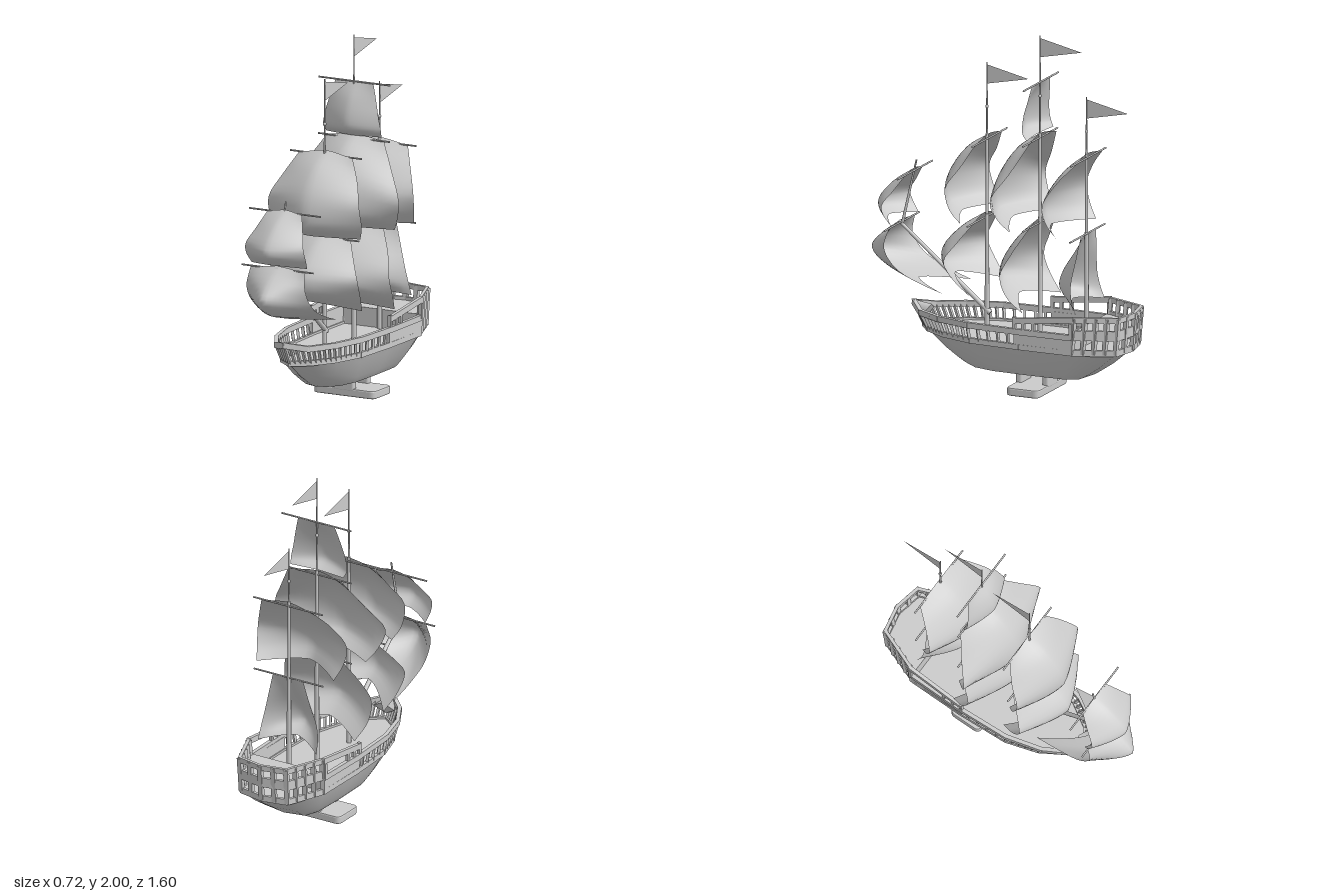
import * as THREE from 'three';

const grey = new THREE.MeshStandardMaterial({ color: 0xcccccc });
const thin = new THREE.MeshStandardMaterial({ color: 0xcccccc, side: THREE.DoubleSide });
const V = (x, y, z) => new THREE.Vector3(x, y, z);

export function createModel() {
  const model = new THREE.Group();
  const add = (name, geo, mat = grey, parent = model) => {
    const m = new THREE.Mesh(geo, mat);
    m.name = name;
    parent.add(m);
    return m;
  };
  const group = (name) => {
    const g = new THREE.Group();
    g.name = name;
    model.add(g);
    return g;
  };
  // Square bar from a to b
  const beam = (name, a, b, w, h, parent) => {
    const m = add(name, new THREE.BoxGeometry(w, h, a.distanceTo(b) + w * 0.6), grey, parent);
    m.position.copy(a).lerp(b, 0.5);
    m.lookAt(b);
  };
  // Tapered round spar from a to b
  const spar = (name, a, b, r0, r1, parent) => {
    const m = add(name, new THREE.CylinderGeometry(r1, r0, a.distanceTo(b), 8), grey, parent);
    m.position.copy(a).lerp(b, 0.5);
    m.quaternion.setFromUnitVectors(V(0, 1, 0), b.clone().sub(a).normalize());
  };
  // Grid surface from rows of points
  const gridSurface = (rows) => {
    const n = rows[0].length, idx = [];
    for (let i = 0; i < rows.length - 1; i++) for (let j = 0; j < n - 1; j++) {
      const a = i * n + j, b = a + n;
      idx.push(a, b, a + 1, b, b + 1, a + 1);
    }
    const g = new THREE.BufferGeometry().setFromPoints(rows.flat());
    g.setIndex(idx);
    g.computeVertexNormals();
    return g;
  };
  // Closed plan outline from half points [x, z], bow to stern
  const mirror = (half) => [...half, ...half.slice(1, -1).reverse().map(([x, z]) => [-x, z])];
  const plate = (name, half, y, t) => {
    const shape = new THREE.Shape(mirror(half).map(([x, z]) => new THREE.Vector2(x, -z)));
    const g = new THREE.ExtrudeGeometry(shape, { depth: t, bevelEnabled: false });
    g.rotateX(-Math.PI / 2).translate(0, y - t, 0);
    add(name, g);
  };

  // Hull: keel outline blended into sheer outline
  const keel = [[0, 0.2], [0.06, 0.18], [0.11, 0.12], [0.14, 0], [0.145, -0.2], [0.14, -0.42], [0.11, -0.5], [0, -0.525]];
  const sheer = [[0, 0.48], [0.09, 0.41], [0.17, 0.28], [0.225, 0.1], [0.238, -0.2], [0.235, -0.52], [0.15, -0.745], [0, -0.77]];
  const levels = [[0.114, 0], [0.124, 0.1], [0.15, 0.27], [0.2, 0.57], [0.25, 0.81], [0.29, 1]];
  const hullRows = levels.map(([y, t]) => {
    const pts = mirror(keel.map(([x, z], i) => [x + (sheer[i][0] - x) * t, z + (sheer[i][1] - z) * t]));
    return [...pts, pts[0]].map(([x, z]) => V(x, y, z));
  });
  add('hull', gridSurface(hullRows), thin);
  plate('hullBottom', keel, 0.124, 0.01);
  plate('mainDeck', sheer, 0.3, 0.015);
  plate('poopDeck', [[0, -0.52], [0.238, -0.52], [0.15, -0.755], [0, -0.78]], 0.405, 0.02);
  add('poopBulkhead', new THREE.BoxGeometry(0.47, 0.12, 0.015)).position.set(0, 0.345, -0.52);

  // Bulwark rails with leaning balusters, both sides
  const rails = group('bulwarks');
  for (const s of [-1, 1]) {
    const low = [[0, 0.48], [0.09, 0.41], [0.17, 0.28], [0.225, 0.1], [0.24, -0.2], [0.238, -0.52]].map(([x, z]) => V(s * x, 0.297, z));
    const high = [[0, 0.54], [0.1, 0.455], [0.182, 0.31], [0.235, 0.11], [0.25, -0.2], [0.245, -0.52]].map(([x, z], i) => V(s * x, i ? 0.385 : 0.41, z));
    for (let i = 0; i < 5; i++) {
      beam('lowerRail', low[i], low[i + 1], 0.02, 0.03, rails);
      beam('upperRail', high[i], high[i + 1], 0.022, 0.032, rails);
      if (i === 4) continue;
      const n = [4, 5, 5, 5][i];
      for (let k = 0; k < n; k++) {
        const t = k / n;
        beam('baluster', low[i].clone().lerp(low[i + 1], t), high[i].clone().lerp(high[i + 1], t), 0.014, 0.016, rails);
      }
    }
    // Solid quarter panel and rising quarter rail
    beam('quarterPanel', V(s * 0.242, 0.34, -0.18), V(s * 0.242, 0.34, -0.52), 0.012, 0.08, rails);
    beam('quarterRail', V(s * 0.25, 0.445, -0.18), V(s * 0.245, 0.485, -0.53), 0.02, 0.032, rails);
    for (const z of [-0.18, -0.235, -0.295, -0.52])
      beam('quarterPost', V(s * 0.248, 0.385, z), V(s * 0.248, 0.46, z), 0.018, 0.018, rails);
  }

  // Stern gallery: three bands with two rows of windows
  const gallery = group('sternGallery');
  const bands = [[0.297, 0.034, 0], [0.397, 0.055, 0.008], [0.485, 0.03, 0.016]];
  const sternPts = [[0.235, -0.52], [0.148, -0.745], [0, -0.775], [-0.148, -0.745], [-0.235, -0.52]];
  const ring = bands.map(([y, , o]) => sternPts.map(([x, z]) => V(x * (1 + o), y, z - o)));
  bands.forEach(([, h], b) => {
    for (let i = 0; i < 4; i++) {
      beam('galleryBand', ring[b][i], ring[b][i + 1], 0.018, h, gallery);
      if (b === 2) continue;
      const n = i === 0 || i === 3 ? 4 : 2;
      for (let k = 0; k <= n; k++)
        beam('windowPost', ring[b][i].clone().lerp(ring[b][i + 1], k / n),
          ring[b + 1][i].clone().lerp(ring[b + 1][i + 1], k / n), 0.026, 0.022, gallery);
    }
  });

  // Beak at the bow
  const beak = add('beak', new THREE.ConeGeometry(0.07, 0.12, 4));
  beak.scale.z = 0.6;
  beak.position.set(0, 0.4, 0.505);
  beak.rotation.x = 1.1;

  // Display stand: rounded foot with two short posts
  const rounded = (w, d, r) => {
    const s = new THREE.Shape();
    s.moveTo(-w + r, -d).lineTo(w - r, -d).quadraticCurveTo(w, -d, w, -d + r).lineTo(w, d - r)
      .quadraticCurveTo(w, d, w - r, d).lineTo(-w + r, d).quadraticCurveTo(-w, d, -w, d - r)
      .lineTo(-w, -d + r).quadraticCurveTo(-w, -d, -w + r, -d);
    return s;
  };
  const standPart = (name, w, d, r, y, h, z) => {
    const g = new THREE.ExtrudeGeometry(rounded(w, d, r), { depth: h - 0.016, bevelThickness: 0.008, bevelSize: 0.008, bevelSegments: 2 });
    g.rotateX(-Math.PI / 2).translate(0, y + 0.008, z);
    add(name, g);
  };
  standPart('standBase', 0.187, 0.09, 0.025, 0, 0.046, -0.2);
  for (const z of [-0.12, -0.28]) standPart('standPost', 0.057, 0.011, 0.005, 0.03, 0.095, z);

  // Masts [z, heights of the joints and tip]
  const masts = { foreMast: [0.1, 0.96, 1.41, 1.815], mainMast: [-0.22, 0.975, 1.45, 2], mizzenMast: [-0.5, 0.92, 1.37, 1.685] };
  for (const [name, [z, y1, y2, y3]] of Object.entries(masts)) {
    const g = group(name);
    spar('lowerMast', V(0, 0.29, z), V(0, y1, z), 0.014, 0.012, g);
    spar('topMast', V(0, y1, z), V(0, y2, z), 0.01, 0.008, g);
    spar('pole', V(0, y2, z), V(0, y3, z), 0.006, 0.003, g);
    add('knob', new THREE.SphereGeometry(0.01, 8, 6), grey, g).position.set(0, y3 - (y3 - y2) * 0.62, z);
    const flag = new THREE.BufferGeometry().setFromPoints([V(0, y3 - 0.014, z), V(0, y3 - 0.122, z), V(0, y3 - 0.069, z - 0.25)]);
    flag.computeVertexNormals();
    add('pennant', flag, thin, g);
  }
  spar('bowsprit', V(0, 0.4, 0.08), V(0, 0.86, 0.63), 0.015, 0.01);
  spar('spritMast', V(0, 0.84, 0.612), V(0, 1.215, 0.525), 0.009, 0.005);

  // Sails: rows of [centre z, centre y, edge z, edge y, half width], top to bottom; the foot curls back
  const sails = {
    mainRoyal: [[-0.225, 1.74, -0.225, 1.735, 0.12], [-0.17, 1.65, -0.21, 1.65, 0.145], [-0.138, 1.55, -0.195, 1.55, 0.17], [-0.14, 1.485, -0.2, 1.48, 0.182], [-0.2, 1.443, -0.22, 1.445, 0.172]],
    mainTopsail: [[-0.22, 1.45, -0.235, 1.42, 0.18], [-0.09, 1.36, -0.16, 1.27, 0.275], [0.005, 1.21, -0.085, 1.13, 0.36], [0.03, 1.03, -0.12, 1.02, 0.33], [-0.06, 0.965, -0.17, 0.95, 0.285]],
    mainCourse: [[-0.22, 0.975, -0.23, 0.94, 0.18], [-0.1, 0.865, -0.16, 0.81, 0.25], [-0.01, 0.73, -0.11, 0.69, 0.285], [0.01, 0.64, -0.15, 0.58, 0.285], [-0.1, 0.54, -0.23, 0.49, 0.25]],
    foreTopsail: [[0.085, 1.415, 0.09, 1.385, 0.17], [0.22, 1.325, 0.15, 1.27, 0.235], [0.315, 1.18, 0.22, 1.15, 0.285], [0.325, 1.03, 0.19, 1.03, 0.285], [0.245, 0.965, 0.145, 0.955, 0.25]],
    foreCourse: [[0.115, 0.965, 0.11, 0.93, 0.17], [0.25, 0.875, 0.18, 0.83, 0.23], [0.355, 0.755, 0.23, 0.74, 0.28], [0.355, 0.67, 0.18, 0.64, 0.27], [0.29, 0.61, 0.09, 0.54, 0.23]],
    mizzenTopsail: [[-0.51, 1.37, -0.515, 1.34, 0.17], [-0.38, 1.265, -0.43, 1.24, 0.235], [-0.28, 1.12, -0.365, 1.11, 0.29], [-0.258, 1.03, -0.39, 1.01, 0.28], [-0.29, 0.945, -0.44, 0.93, 0.25]],
    mizzenCourse: [[-0.505, 0.92, -0.51, 0.91, 0.1], [-0.435, 0.81, -0.5, 0.8, 0.13], [-0.35, 0.67, -0.485, 0.66, 0.17], [-0.34, 0.6, -0.495, 0.58, 0.185], [-0.42, 0.54, -0.52, 0.505, 0.19]],
    spritTopsail: [[0.535, 1.17, 0.54, 1.15, 0.11], [0.66, 1.085, 0.6, 1.06, 0.15], [0.745, 0.985, 0.65, 0.985, 0.182], [0.745, 0.94, 0.635, 0.93, 0.187], [0.69, 0.89, 0.595, 0.87, 0.175]],
    spritsail: [[0.615, 0.87, 0.615, 0.85, 0.17], [0.74, 0.775, 0.635, 0.75, 0.185], [0.795, 0.7, 0.57, 0.65, 0.19], [0.72, 0.62, 0.43, 0.575, 0.185], [0.51, 0.555, 0.28, 0.525, 0.18]],
  };
  const across = 16, down = 16;
  for (const [name, rows] of Object.entries(sails)) {
    const centre = new THREE.CatmullRomCurve3(rows.map(([z, y]) => V(0, y, z)));
    const edge = new THREE.CatmullRomCurve3(rows.map(([, , z, y, w]) => V(w, y, z)));
    const pts = [];
    for (let i = 0; i <= down; i++) {
      const c = centre.getPoint(i / down), e = edge.getPoint(i / down), row = [];
      for (let j = 0; j <= across; j++) {
        const u = (j / across) * 2 - 1, k = Math.abs(u) ** 1.4;
        row.push(V(e.x * u, c.y + (e.y - c.y) * k, c.z + (e.z - c.z) * k));
      }
      pts.push(row);
    }
    const g = group(name);
    add('sail', gridSurface(pts), thin, g);
    const [z, , , y] = rows[0];
    spar('yard', V(-0.225, y + 0.005, z), V(0.225, y + 0.005, z), 0.005, 0.005, g);
  }
  return model;
}
